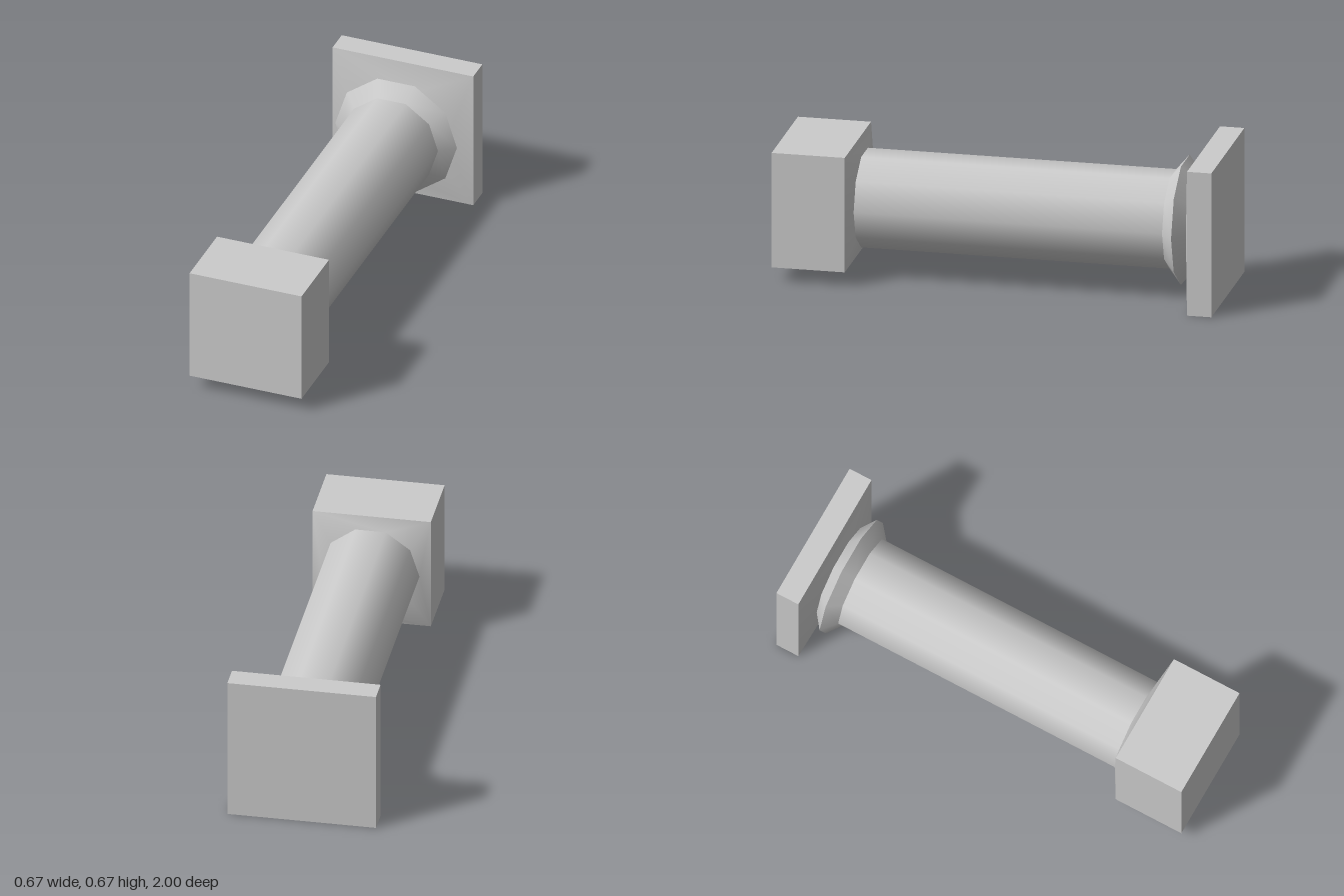
import * as THREE from 'three';

const SIDES = 10;
const CENTER_Y = 0.333;
const SHAFT_R = 0.22;

export function createModel() {
  const group = new THREE.Group();
  const material = new THREE.MeshStandardMaterial({ color: 0xcccccc });

  const add = (name, geometry, z) => {
    const mesh = new THREE.Mesh(geometry, material);
    mesh.name = name;
    mesh.position.set(0, CENTER_Y, z);
    group.add(mesh);
  };

  // Ten-sided tapered section lying along z, corners on the x axis
  const section = (name, zBack, zFront, rBack, rFront) => {
    const geo = new THREE.CylinderGeometry(rFront, rBack, zFront - zBack, SIDES, 1, true, Math.PI / 2);
    add(name, geo.rotateX(Math.PI / 2), (zBack + zFront) / 2);
  };

  // Square block along z
  const block = (name, half, zBack, zFront) =>
    add(name, new THREE.BoxGeometry(half * 2, half * 2, zFront - zBack), (zBack + zFront) / 2);

  // Sloped transition from a square (z = 0) to the ten-sided shaft (z = height)
  const transition = (half, height) => {
    const points = [];
    const index = [];
    for (let i = 0; i < SIDES; i++) {
      const a = (i / SIDES) * Math.PI * 2;
      points.push(SHAFT_R * Math.cos(a), SHAFT_R * Math.sin(a), height);
    }
    for (const [x, y] of [[1, 1], [-1, 1], [-1, -1], [1, -1]]) points.push(x * half, y * half, 0);
    const corner = (i) => SIDES + Math.floor((((i % SIDES) + 0.5) * 4) / SIDES);
    for (let i = 0; i < SIDES; i++) {
      const next = (i + 1) % SIDES;
      index.push(i, corner(i), next);
      if (corner(i) !== corner(next)) index.push(next, corner(i), corner(next));
    }
    const geo = new THREE.BufferGeometry();
    geo.setAttribute('position', new THREE.Float32BufferAttribute(points, 3));
    geo.setIndex(index);
    geo.computeVertexNormals();
    return geo;
  };

  // Wide base plate and its slope to the shaft
  block('basePlate', 0.333, -1, -0.89);
  add('baseSlope', transition(0.333, 0.03), -0.89);

  // Pointed collar ring
  section('collarBack', -0.86, -0.808, SHAFT_R, 0.288);
  section('collarFront', -0.808, -0.752, 0.288, SHAFT_R);

  // Long shaft
  section('shaft', -0.752, 0.64, SHAFT_R, SHAFT_R);

  // Square end block and its slope to the shaft
  add('capSlope', transition(0.265, 0.03).rotateY(Math.PI), 0.67);
  block('capBlock', 0.265, 0.67, 1);

  return group;
}
